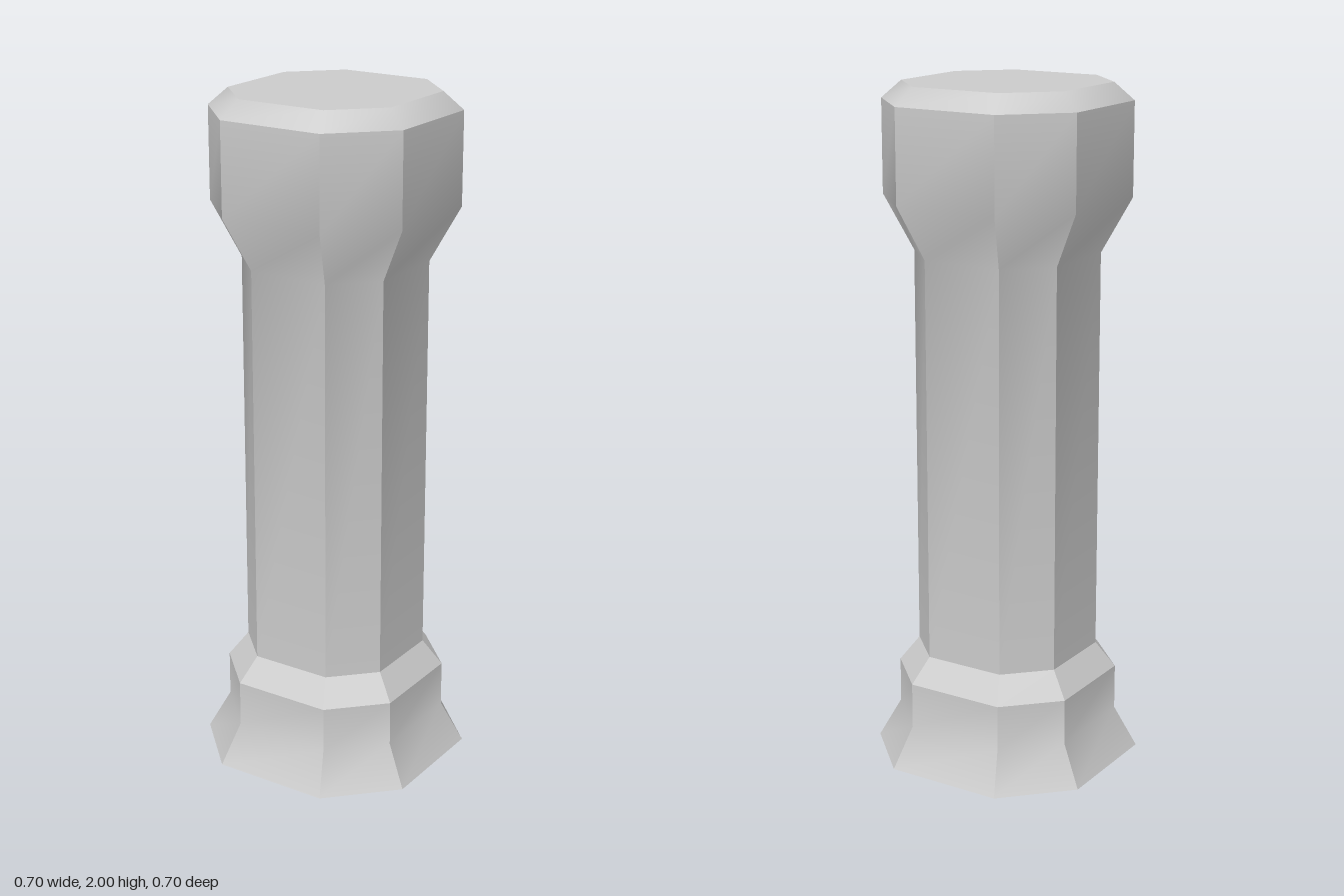
import * as THREE from 'three';
import { toCreasedNormals } from 'three/addons/utils/BufferGeometryUtils.js';

// Column profile from the ground up: height, half width, half length of the straight side
const PROFILE = [
  [0, 0.352, 0.176],
  [0.12, 0.29, 0.149],
  [0.255, 0.29, 0.149],
  [0.33, 0.237, 0.122],
  [1.52, 0.237, 0.122],
  [1.68, 0.317, 0.159],
  [1.95, 0.317, 0.159],
  [2, 0.264, 0.136],
];

// Eight corners of one cross-section, anticlockwise seen from above
function octagon([y, w, c]) {
  return [
    [c, w], [w, c], [w, -c], [c, -w],
    [-c, -w], [-w, -c], [-w, c], [-c, w],
  ].flatMap(([x, z]) => [x, y, z]);
}

function columnGeometry() {
  const index = [];
  const last = (PROFILE.length - 1) * 8;

  // Side faces between neighbouring cross-sections
  for (let ring = 0; ring < last; ring += 8) {
    for (let j = 0; j < 8; j++) {
      const a = ring + j;
      const b = ring + (j + 1) % 8;
      index.push(a, b, b + 8, a, b + 8, a + 8);
    }
  }

  // Flat underside and top
  for (let j = 1; j < 7; j++) {
    index.push(0, j + 1, j);
    index.push(last, last + j, last + j + 1);
  }

  const geometry = new THREE.BufferGeometry();
  geometry.setAttribute('position', new THREE.Float32BufferAttribute(PROFILE.flatMap(octagon), 3));
  geometry.setIndex(index);

  // Soft bends along the height, sharp edges between the eight sides
  return toCreasedNormals(geometry, THREE.MathUtils.degToRad(35));
}

export function createModel() {
  const group = new THREE.Group();
  group.name = 'octagonalPillar';
  const column = new THREE.Mesh(columnGeometry(), new THREE.MeshStandardMaterial({ color: 0xcccccc }));
  column.name = 'column';
  group.add(column);
  return group;
}
